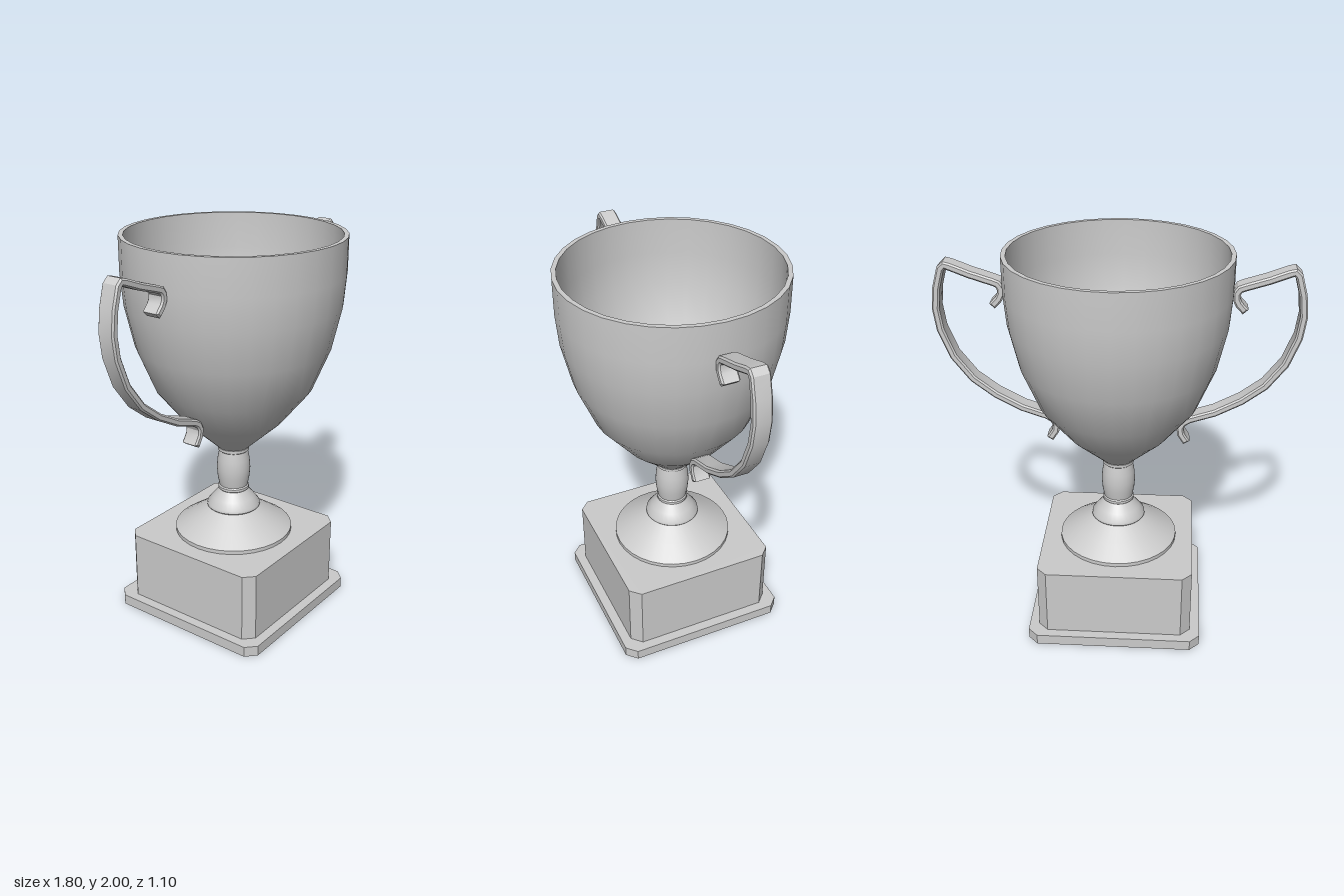
import * as THREE from 'three';
import { toCreasedNormals } from 'three/addons/utils/BufferGeometryUtils.js';

const material = new THREE.MeshStandardMaterial({ color: 0xcccccc });
const vectors = (list) => list.map(([x, y]) => new THREE.Vector2(x, y));

function addMesh(parent, name, geometry, crease = 0.5) {
  const mesh = new THREE.Mesh(toCreasedNormals(geometry, crease), material);
  mesh.name = name;
  parent.add(mesh);
  return mesh;
}

// Square block with cut corners, standing on y
function chamferedBlock(half, cut, y, height) {
  const s = half - cut;
  const shape = new THREE.Shape(vectors([
    [-s, -half], [s, -half], [half, -s], [half, s],
    [s, half], [-s, half], [-half, s], [-half, -s],
  ]));
  return new THREE.ExtrudeGeometry(shape, { depth: height, bevelEnabled: false })
    .rotateX(-Math.PI / 2).translate(0, y, 0);
}

// Flat band of constant thickness along a path in the xy plane, with bevelled edges
function bandGeometry(path, thickness, width, bevel) {
  const half = thickness / 2 - bevel;
  const left = [], right = [];
  path.forEach((p, i) => {
    const a = path[Math.max(i - 1, 0)], b = path[Math.min(i + 1, path.length - 1)];
    const d1 = p.clone().sub(a).normalize(), d2 = b.clone().sub(p).normalize();
    const t = d1.add(d2).normalize();
    const n = new THREE.Vector2(-t.y, t.x).multiplyScalar(half);
    left.push(p.clone().add(n));
    right.push(p.clone().sub(n));
  });
  const shape = new THREE.Shape([...left, ...right.reverse()]);
  const depth = width - 2 * bevel;
  return new THREE.ExtrudeGeometry(shape, {
    depth, bevelEnabled: true, bevelThickness: bevel, bevelSize: bevel, bevelSegments: 1,
  }).translate(0, 0, -depth / 2);
}

export function createModel() {
  const trophy = new THREE.Group();
  trophy.name = 'trophyCup';

  // Square base
  addMesh(trophy, 'baseFoot', chamferedBlock(0.45, 0.05, 0, 0.055), 0.2);
  addMesh(trophy, 'plinth', chamferedBlock(0.4, 0.05, 0.055, 0.36), 0.2);

  // Flared foot, collars and barrel-shaped stem
  addMesh(trophy, 'stem', new THREE.LatheGeometry(vectors([
    [0.31, 0.415], [0.31, 0.435], [0.22, 0.495], [0.135, 0.55],
    [0.14, 0.556], [0.138, 0.57], [0.11, 0.605], [0.075, 0.648],
    [0.081, 0.653], [0.081, 0.667], [0.075, 0.673],
    [0.084, 0.72], [0.088, 0.77], [0.084, 0.82], [0.075, 0.868],
    [0.081, 0.873], [0.081, 0.888], [0.075, 0.895],
  ]), 32), 0.6);

  // Hollow bowl: outside, rim, inside and floor
  addMesh(trophy, 'bowl', new THREE.LatheGeometry(vectors([
    [0, 0.89], [0.08, 0.89], [0.255, 1.05], [0.4, 1.23], [0.49, 1.45],
    [0.537, 1.66], [0.55, 1.82], [0.55, 2],
    [0.527, 2], [0.527, 1.82], [0.514, 1.66], [0.468, 1.46],
    [0.38, 1.245], [0.24, 1.07], [0.06, 0.91], [0, 0.91],
  ]), 32));

  // Handle with a curled hook at each end
  const path = vectors([
    [0.6, 1.735], [0.572, 1.765], [0.56, 1.79], [0.56, 1.82], [0.574, 1.84],
    [0.6, 1.85], [0.71, 1.885], [0.8, 1.92], [0.825, 1.927], [0.843, 1.91],
    [0.87, 1.815], [0.882, 1.71], [0.868, 1.6], [0.815, 1.46], [0.725, 1.34],
    [0.615, 1.255], [0.485, 1.185], [0.36, 1.143], [0.328, 1.122],
    [0.315, 1.095], [0.319, 1.06], [0.345, 1.02],
  ]);
  const mirrored = path.map((p) => new THREE.Vector2(-p.x, p.y));
  addMesh(trophy, 'leftHandle', bandGeometry(path, 0.036, 0.09, 0.008));
  addMesh(trophy, 'rightHandle', bandGeometry(mirrored, 0.036, 0.09, 0.008));

  return trophy;
}
